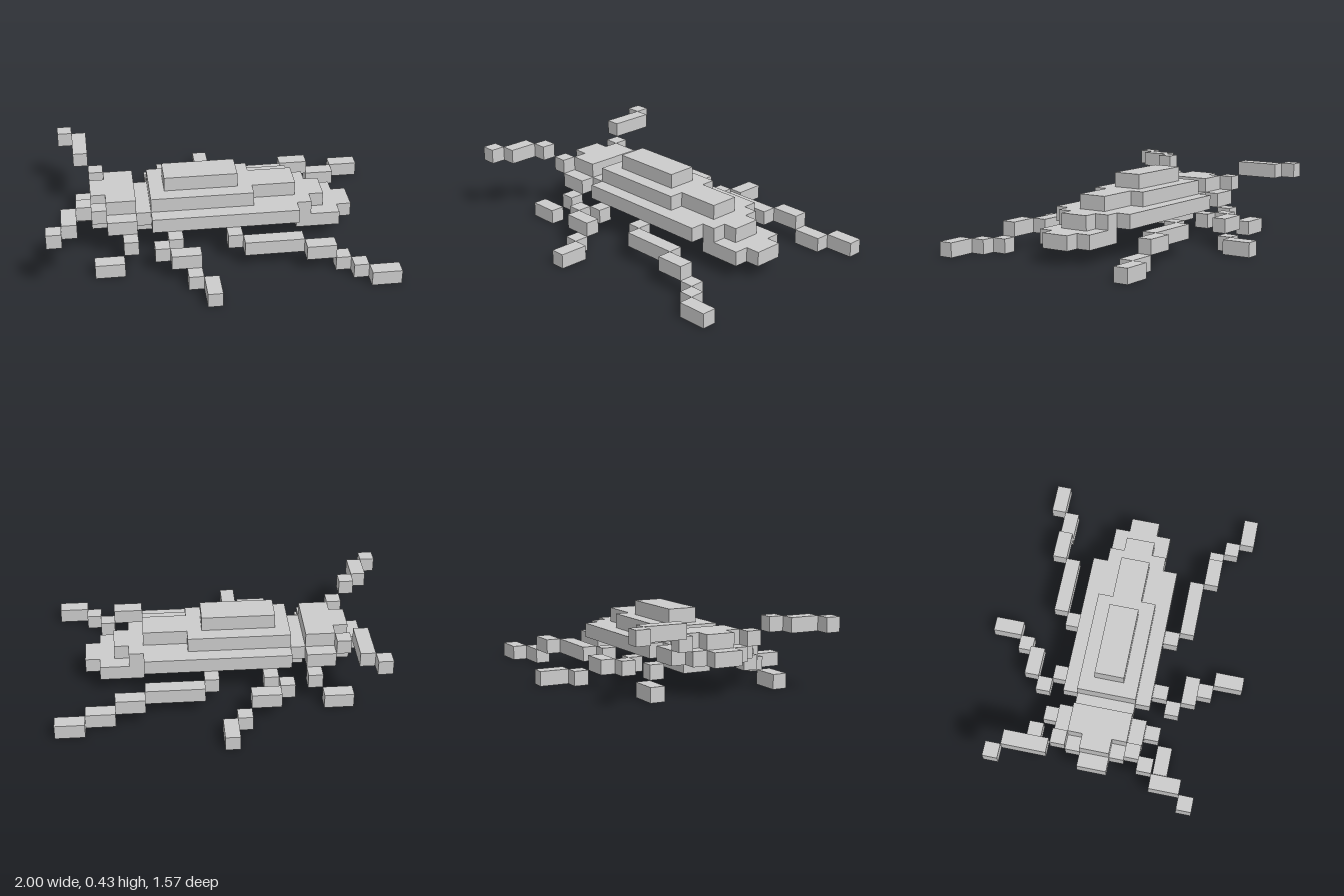
import * as THREE from 'three';

const U = 2 / 23; // edge of one cube

// Every block is [x0, x1, layer, z0, z1] in cube units; each is one cube high.
const PARTS = {
  abdomen: [
    [7, 17, 2, 6, 12], [17, 18, 2, 7, 11], [18, 19, 2, 8, 10],
  ],
  shell: [
    [7, 14, 3, 7, 11], [14, 17, 3, 8, 10], [8, 13, 4, 8, 10],
  ],
  tail: [[17, 20, 1, 7, 11], [20, 21, 1, 8, 10]],
  thorax: [[6, 9, 1, 8, 10]],
  neck: [[6, 7, 2, 7, 11]],
  head: [
    [4, 6, 2, 6, 12], [3, 4, 2, 7, 11], [2, 3, 2, 8, 10],
    [4, 6, 3, 7, 11], [3, 4, 3, 8, 10],
  ],
  // antennae, each rising from a short base
  leftAntenna: [[3, 4, 3, 11, 12], [2, 3, 4, 12, 13], [1, 2, 4, 13, 15], [0, 1, 4, 15, 16]],
  rightAntenna: [[3, 4, 3, 6, 7], [2, 3, 4, 3, 6], [1, 2, 4, 2, 3]],
  // legs on the +z side
  foreLegA: [[5, 6, 1, 12, 13], [3, 5, 0, 13, 14]],
  middleLegA: [
    [8, 9, 1, 12, 13], [7, 8, 1, 13, 14], [8, 10, 1, 14, 15],
    [9, 10, 0, 15, 16], [10, 11, 0, 16, 18],
  ],
  hindLegA: [
    [12, 13, 1, 12, 13], [13, 17, 1, 13, 14], [17, 19, 1, 14, 15],
    [19, 20, 0, 14, 15], [20, 21, 0, 15, 16], [21, 23, 0, 16, 17],
  ],
  // legs on the -z side
  foreLegB: [[5, 6, 1, 5, 6], [3, 5, 0, 4, 5]],
  middleLegB: [
    [8, 9, 1, 5, 6], [7, 8, 1, 4, 5], [8, 10, 1, 3, 4],
    [10, 11, 0, 2, 3], [11, 12, 0, 0, 2],
  ],
  hindLegB: [
    [12, 13, 1, 5, 6], [13, 17, 1, 4, 5], [17, 19, 1, 3, 4],
    [19, 21, 0, 3, 4], [21, 23, 0, 2, 3],
  ],
};

export function createModel() {
  const model = new THREE.Group();
  model.name = 'blockInsect';
  const material = new THREE.MeshStandardMaterial({ color: 0xcccccc, flatShading: true });

  for (const [name, blocks] of Object.entries(PARTS)) {
    const part = new THREE.Group();
    part.name = name;
    blocks.forEach(([x0, x1, layer, z0, z1], i) => {
      const block = new THREE.Mesh(
        new THREE.BoxGeometry((x1 - x0) * U, U, (z1 - z0) * U), material);
      block.position.set(
        ((x0 + x1) / 2 - 11.5) * U, (layer + 0.5) * U, ((z0 + z1) / 2 - 9) * U);
      block.name = `${name}Block${i + 1}`;
      part.add(block);
    });
    model.add(part);
  }
  return model;
}
